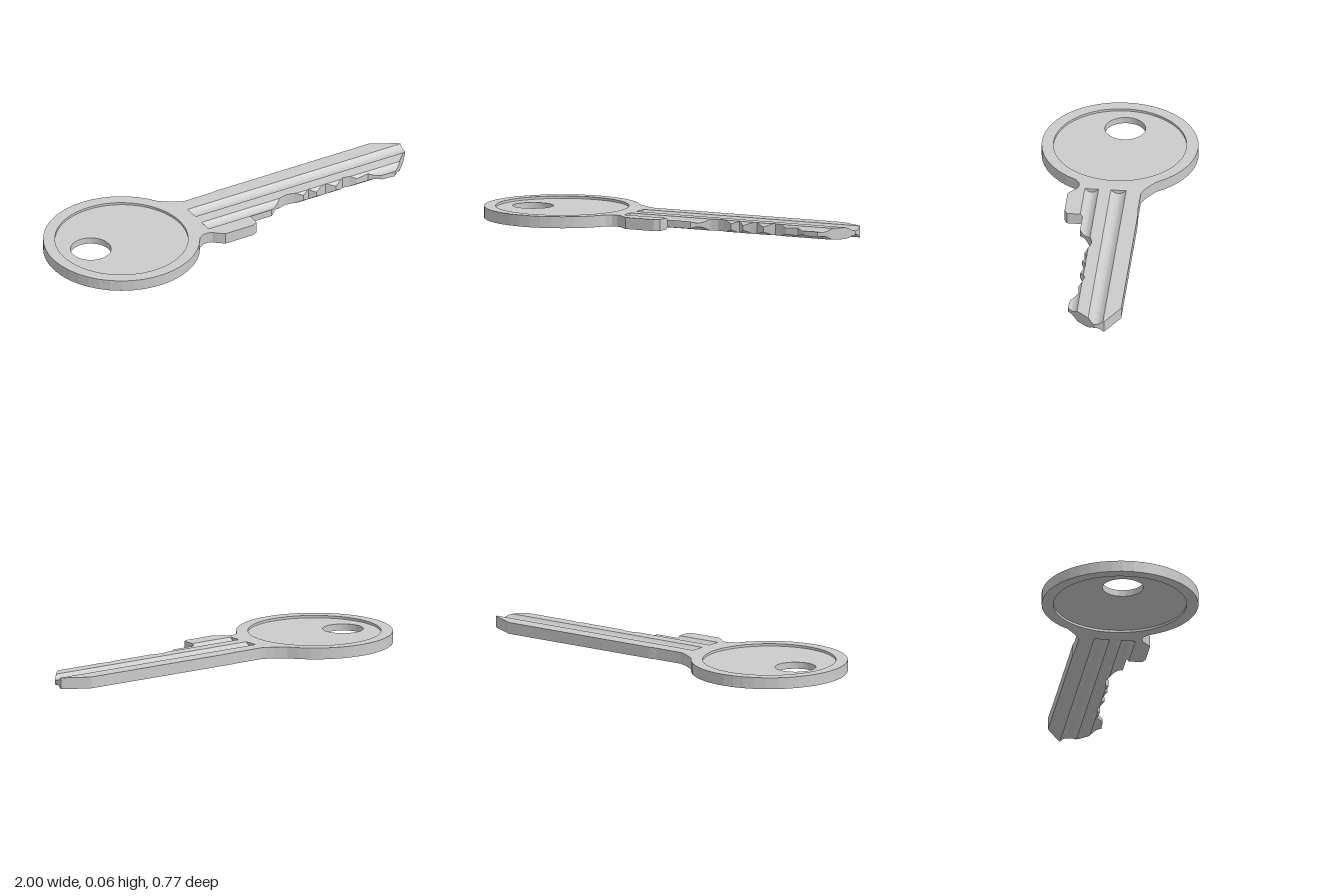
import * as THREE from 'three';
import { toCreasedNormals } from 'three/addons/utils/BufferGeometryUtils.js';

const T = 0.057;            // thickness of the key
const NECK_X = -0.2;        // where the grooves begin
const HEAD = { x: -0.615, r: 0.385, recess: 0.327 };
const GROOVES = [{ z: -0.032, w: 0.038 }, { z: 0.1, w: 0.034 }];
const GROOVE_DEPTH = 0.019;

// Blade edges as [x, z]: plain back and cut teeth
const BACK = [[-0.2, -0.151], [-0.18, -0.144], [-0.02, -0.144], [0, -0.148], [0.87, -0.148], [0.99, -0.082], [1, -0.075]];
const TEETH = [
  [-0.2, 0.171], [-0.184, 0.188], [-0.15, 0.214], [0.005, 0.214], [0.034, 0.2], [0.035, 0.123],
  [0.163, 0.123], [0.2, 0.095], [0.243, 0.064], [0.28, 0.054], [0.32, 0.06], [0.366, 0.082],
  [0.404, 0.064], [0.436, 0.086], [0.47, 0.07], [0.5, 0.063], [0.548, 0.086], [0.6, 0.058],
  [0.635, 0.064], [0.67, 0.081], [0.735, 0.075], [0.794, 0.112], [0.863, 0.115], [0.906, 0.078], [1, -0.025],
];

function edgeAt(points, x) {
  for (let i = 1; i < points.length; i++) {
    const [x0, z0] = points[i - 1], [x1, z1] = points[i];
    if (x <= x1) return z0 + (z1 - z0) * (x - x0) / (x1 - x0);
  }
  return points[points.length - 1][1];
}

// Depth of the milled grooves at a given z
function grooveDepth(z) {
  let d = 0;
  for (const g of GROOVES) {
    const u = (z - g.z) / g.w;
    if (Math.abs(u) < 1) d = GROOVE_DEPTH * (1 - u * u);
  }
  return d;
}

// Shape y becomes z; the extrusion runs down from yTop
function slab(shape, yBottom, yTop, curveSegments) {
  const geo = new THREE.ExtrudeGeometry(shape, { depth: yTop - yBottom, bevelEnabled: false, curveSegments });
  geo.rotateX(Math.PI / 2);
  geo.translate(0, yTop, 0);
  return geo;
}

function circlePath(x, z, r) {
  return new THREE.Path().absarc(x, z, r, 0, Math.PI * 2, true);
}

// Round bow rim running into the neck
function headGeometry() {
  const pts = [];
  const a0 = 0.5, a1 = Math.PI * 2 - 0.574, n = 36;
  for (let i = 0; i <= n; i++) {
    const a = a0 + (a1 - a0) * i / n;
    pts.push(new THREE.Vector2(HEAD.x + HEAD.r * Math.cos(a), HEAD.r * Math.sin(a)));
  }
  for (const [x, z] of [[-0.233, -0.168], [NECK_X, -0.151], [NECK_X, 0.171], [-0.225, 0.164], [-0.25, 0.167]]) {
    pts.push(new THREE.Vector2(x, z));
  }
  const shape = new THREE.Shape(pts);
  shape.holes.push(circlePath(HEAD.x, 0, HEAD.recess));
  return toCreasedNormals(slab(shape, 0, T, 64), 0.1);
}

// Thinner plate inside the rim, with the ring hole
function plateGeometry() {
  const shape = new THREE.Shape().absarc(HEAD.x, 0, HEAD.recess + 0.002, 0, Math.PI * 2, false);
  shape.holes.push(circlePath(-0.783, -0.01, 0.1));
  return toCreasedNormals(slab(shape, 0.012, T - 0.012, 64), 0.5);
}

// Grooved blade: cross-sections along x, clipped to both edges
function bladeGeometry() {
  const lines = [-1];
  for (const g of GROOVES) {
    for (let i = 0; i <= 12; i++) lines.push(g.z + g.w * (i / 6 - 1));
  }
  lines.push(1);

  const knots = [...new Set([...BACK, ...TEETH].map((p) => p[0]))].sort((a, b) => a - b);
  const xs = [knots[0]];
  for (let i = 1; i < knots.length; i++) {
    for (let k = 1; k <= 6; k++) xs.push(knots[i - 1] + (knots[i] - knots[i - 1]) * k / 6);
  }

  const sections = xs.map((x) => {
    const back = edgeAt(BACK, x), front = edgeAt(TEETH, x);
    const zs = lines.map((z) => Math.min(Math.max(z, back), front));
    return {
      top: zs.map((z) => new THREE.Vector3(x, T - grooveDepth(z), z)),
      bottom: zs.map((z) => new THREE.Vector3(x, grooveDepth(z), z)),
    };
  });

  const out = [];
  const tri = (a, b, c) => {
    if (new THREE.Triangle(a, b, c).getArea() > 1e-9) for (const p of [a, b, c]) out.push(p.x, p.y, p.z);
  };
  const quad = (a, b, c, d) => { tri(a, b, c); tri(a, c, d); };

  const last = lines.length - 1;
  for (let s = 1; s < sections.length; s++) {
    const a = sections[s - 1], b = sections[s];
    for (let i = 0; i < last; i++) {
      quad(a.top[i], a.top[i + 1], b.top[i + 1], b.top[i]);
      quad(a.bottom[i], b.bottom[i], b.bottom[i + 1], a.bottom[i + 1]);
    }
    quad(a.top[last], a.bottom[last], b.bottom[last], b.top[last]);
    quad(a.top[0], b.top[0], b.bottom[0], a.bottom[0]);
  }
  // Blunt end of the tip
  const tip = sections[sections.length - 1];
  for (let i = 0; i < last; i++) quad(tip.top[i], tip.top[i + 1], tip.bottom[i + 1], tip.bottom[i]);

  const geo = new THREE.BufferGeometry();
  geo.setAttribute('position', new THREE.Float32BufferAttribute(out, 3));
  return toCreasedNormals(geo, 0.4);
}

export function createModel() {
  const material = new THREE.MeshStandardMaterial({ color: 0xcccccc });
  const group = new THREE.Group();
  group.name = 'key';
  const parts = { headRim: headGeometry(), headPlate: plateGeometry(), blade: bladeGeometry() };
  for (const [name, geometry] of Object.entries(parts)) {
    const mesh = new THREE.Mesh(geometry, material);
    mesh.name = name;
    group.add(mesh);
  }
  return group;
}
